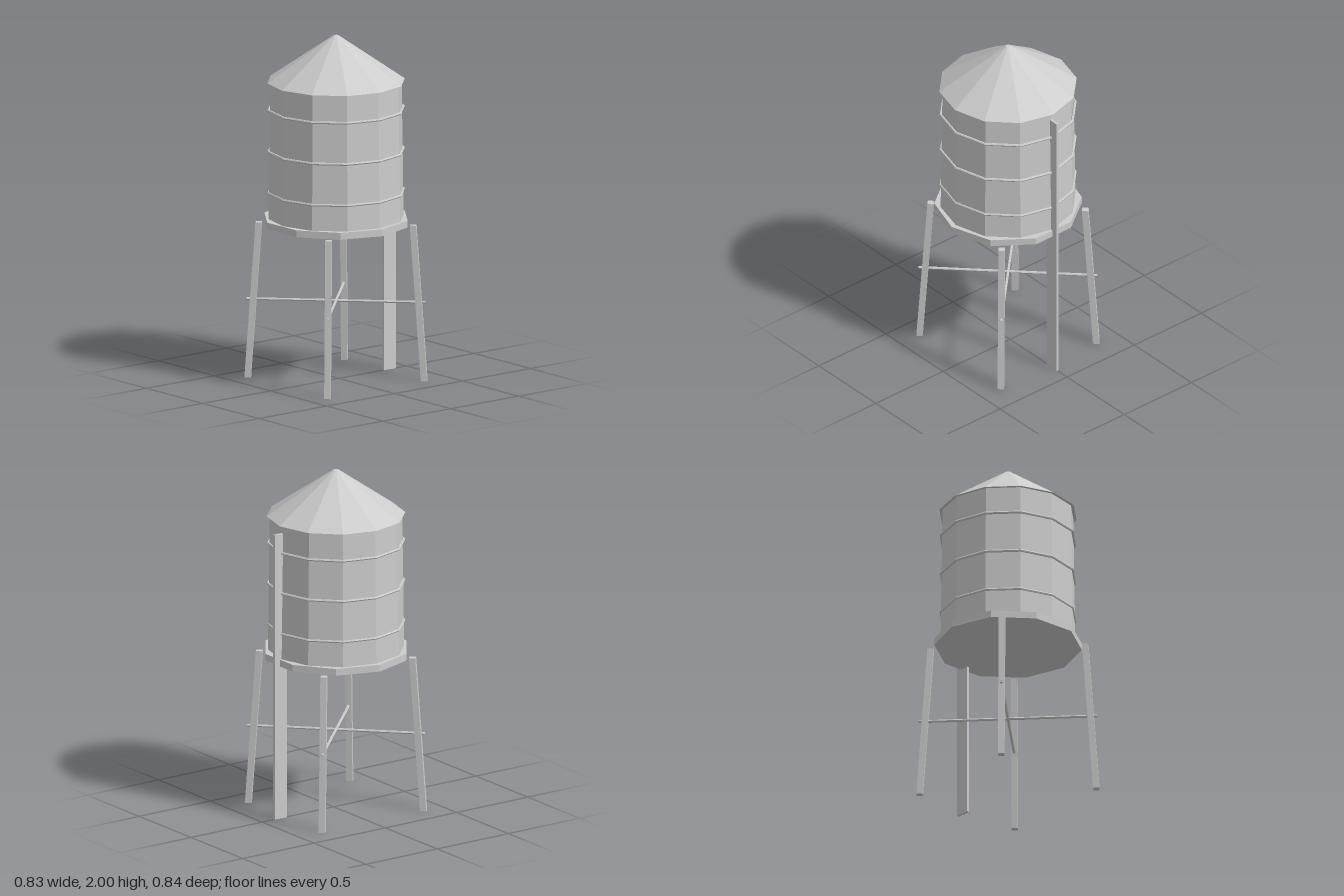
import * as THREE from 'three';

export function createModel() {
  const model = new THREE.Group();
  model.name = 'waterTower';
  const grey = new THREE.MeshStandardMaterial({ color: 0xcccccc });
  grey.name = 'light grey';
  grey.flatShading = true;

  // everything but the ladder is centred on the tank axis
  const tower = new THREE.Group();
  tower.name = 'tower';
  tower.position.x = -0.018;
  model.add(tower);

  const add = (name, geometry, x = 0, y = 0, z = 0, parent = tower) => {
    const mesh = new THREE.Mesh(geometry, grey);
    mesh.name = name;
    mesh.position.set(x, y, z);
    parent.add(mesh);
    return mesh;
  };
  // upright prism between two heights
  const drum = (name, rTop, rBottom, y0, y1, sides) =>
    add(name, new THREE.CylinderGeometry(rTop, rBottom, y1 - y0, sides), 0, (y0 + y1) / 2, 0);

  drum('platform', 0.42, 0.42, 0.905, 0.945, 10);
  drum('tank', 0.378, 0.389, 0.945, 1.735, 12);
  drum('roof', 0.015, 0.396, 1.735, 2, 12);

  // hoops around the tank
  for (const y of [1.095, 1.335, 1.575]) {
    add('hoop', new THREE.TorusGeometry(0.388, 0.008, 6, 12).rotateX(Math.PI / 2), 0, y, 0);
  }

  // four splayed legs on the diagonals
  const topR = 0.44, footR = 0.503, height = 0.905;
  for (let i = 0; i < 4; i++) {
    const leg = new THREE.BoxGeometry(0.036, height, 0.036);
    const p = leg.attributes.position;
    for (let j = 0; j < p.count; j++) {
      p.setX(j, p.getX(j) + (p.getY(j) > 0 ? topR : footR));
    }
    leg.computeVertexNormals();
    add('leg', leg, 0, height / 2, 0).rotation.y = Math.PI / 4 + i * Math.PI / 2;
  }

  // crossed braces between opposite legs
  for (const side of [-1, 1]) {
    const brace = new THREE.CylinderGeometry(0.008, 0.008, 1.02, 6).rotateZ(Math.PI / 2);
    add('brace', brace, 0, 0.457, 0).rotation.y = side * Math.PI / 4;
  }

  // ladder board on the left side
  add('ladderBoard', new THREE.BoxGeometry(0.087, 1.69, 0.015), 0.3735, 0.845, 0, model);
  return model;
}
